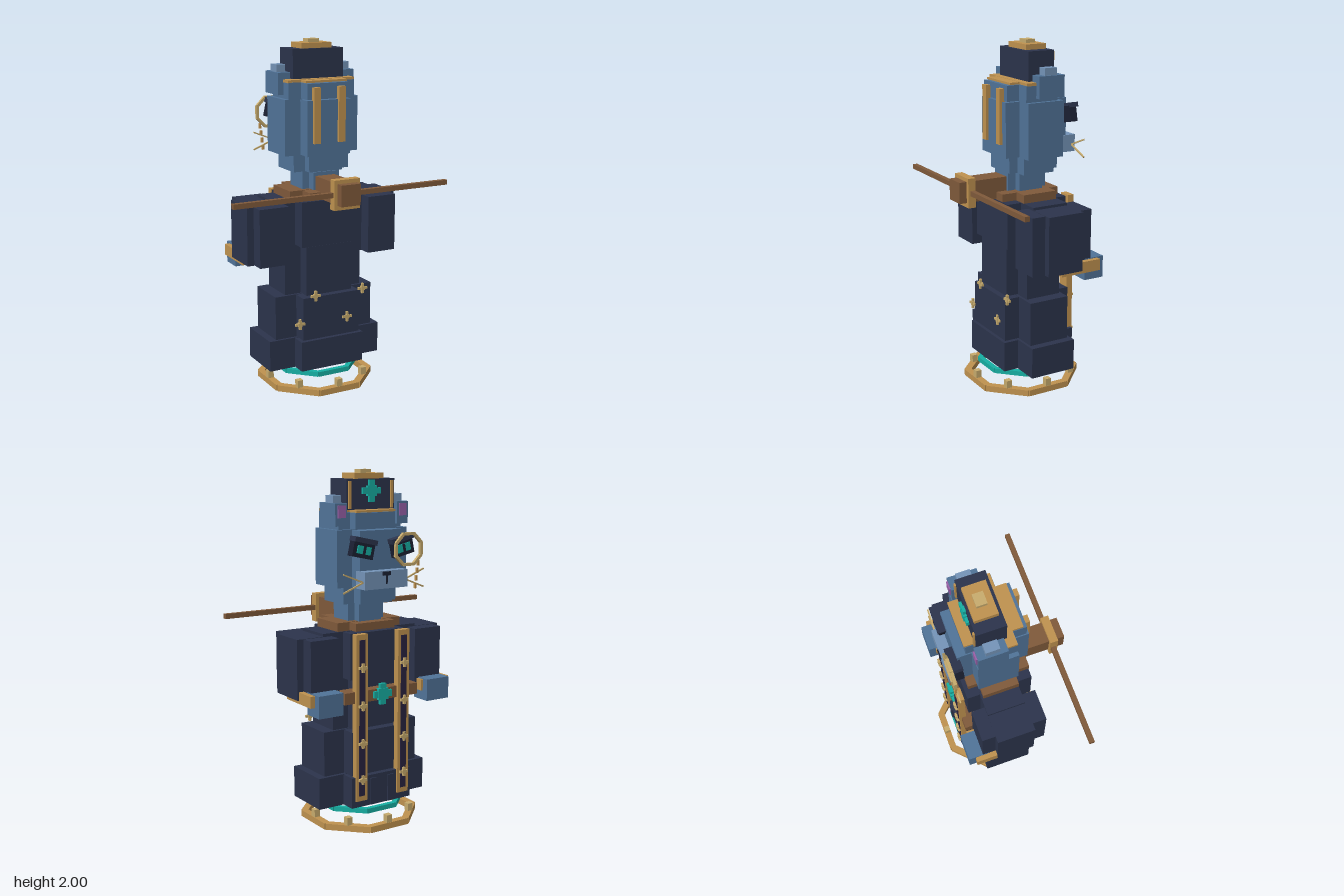
import * as THREE from 'three';

const mat = (name, color) => {
  const m = new THREE.MeshStandardMaterial({ color });
  m.name = name;
  return m;
};

export function createModel() {
  const navy = mat('navy cloth', 0x2c344c);
  const blue = mat('blue fur', 0x517499);
  const pale = mat('pale blue fur', 0x7595b9);
  const gold = mat('gold trim', 0xc09350);
  const tan = mat('pale gold', 0xc8ac6e);
  const brown = mat('brown leather', 0x805a3b);
  const teal = mat('teal glow', 0x17b0a4);
  const purple = mat('purple inner ear', 0x9a62aa);
  const plum = mat('dark plum', 0x2a2340);
  const black = mat('near black', 0x1b2032);

  const model = new THREE.Group();

  // Box from its limits on each axis
  function box(name, m, [x0, x1], [y0, y1], [z0, z1], parent = model) {
    const mesh = new THREE.Mesh(new THREE.BoxGeometry(x1 - x0, y1 - y0, z1 - z0), m);
    mesh.position.set((x0 + x1) / 2, (y0 + y1) / 2, (z0 + z1) / 2);
    mesh.name = name;
    parent.add(mesh);
    return mesh;
  }

  // The same box on both sides
  function pair(name, m, [x0, x1], y, z) {
    box(name + 'Left', m, [x0, x1], y, z);
    box(name + 'Right', m, [-x1, -x0], y, z);
  }

  // Stepped block: a wide shallow box crossed with a narrow deep one
  function stepped(name, m, y, wide, wideZ, narrow, deepZ, cx = 0) {
    const g = new THREE.Group();
    g.name = name;
    box(name + 'Wide', m, [cx - wide, cx + wide], y, wideZ, g);
    box(name + 'Deep', m, [cx - narrow, cx + narrow], [y[0] + 0.002, y[1] - 0.002], deepZ, g);
    model.add(g);
  }

  // Octagonal ring of eight bars, lying flat around the local y axis
  function ring(name, m, apothem, band, height) {
    const g = new THREE.Group();
    g.name = name;
    const mid = apothem - band / 2;
    for (let i = 0; i < 8; i++) {
      const a = i * Math.PI / 4;
      const bar = new THREE.Mesh(new THREE.BoxGeometry(2 * mid * Math.tan(Math.PI / 8) + band * 0.2, height, band), m);
      bar.position.set(Math.sin(a) * mid, 0, Math.cos(a) * mid);
      bar.rotation.y = a;
      bar.name = name + 'Bar';
      g.add(bar);
    }
    model.add(g);
    return g;
  }

  // Small plus-shaped ornament facing z
  function star(name, m, x, y, z, size, arm, depth) {
    const g = new THREE.Group();
    g.name = name;
    const s = size / 2, a = arm / 2, d = depth / 2, c = arm * 0.85;
    box('upright', m, [-a, a], [-s, s], [-d, d], g);
    box('crossbar', m, [-s, s], [-a, a], [-d * 0.9, d * 0.9], g);
    box('centre', m, [-c, c], [-c, c], [-d * 1.2, d * 1.2], g);
    g.position.set(x, y, z);
    model.add(g);
  }

  // Floating base rings
  const CZ = -0.057;
  ring('baseRing', gold, 0.317, 0.04, 0.036).position.set(0, 0.018, CZ);
  ring('glowRing', teal, 0.24, 0.028, 0.028).position.set(0, 0.099, CZ);
  for (let i = 0; i < 8; i++) {
    const a = i * Math.PI / 4, x = Math.sin(a) * 0.297, z = CZ + Math.cos(a) * 0.297;
    box('ringStud', tan, [x - 0.017, x + 0.017], [0.034, 0.08], [z - 0.017, z + 0.017]);
  }

  // Robe tiers
  stepped('hem', navy, [0.13, 0.31], 0.358, [-0.2, 0.08], 0.2, [-0.29, 0.17]);
  stepped('skirt', navy, [0.31, 0.565], 0.313, [-0.18, 0.065], 0.182, [-0.265, 0.155]);
  stepped('waist', navy, [0.565, 0.855], 0.245, [-0.165, 0.05], 0.145, [-0.225, 0.125]);
  stepped('chest', navy, [0.855, 1.12], 0.31, [-0.17, 0.05], 0.18, [-0.245, 0.137]);
  for (const x of [-0.06, 0.06]) box('hemFold', navy, [x - 0.02, x + 0.02], [0.135, 0.29], [-0.298, -0.28]);

  // Stars scattered on the robe
  for (const [x, y, z] of [[-0.105, 0.57, 0.158], [0.205, 0.57, 0.155], [-0.205, 0.415, 0.158], [0.1, 0.415, 0.158]])
    star('robeStar', tan, x, y, z, 0.06, 0.014, 0.014);

  // Sleeves, cuffs and hands
  for (const s of [1, -1]) {
    stepped(s > 0 ? 'sleeveLeft' : 'sleeveRight', navy, [0.768, 1.105], 0.13, [-0.17, 0.05], 0.09, [-0.248, 0.13], s * 0.345);
  }
  pair('cuff', gold, [0.27, 0.466], [0.75, 0.815], [-0.293, -0.165]);
  pair('cuffLining', gold, [0.27, 0.466], [0.75, 0.767], [-0.166, -0.04]);
  pair('hand', blue, [0.282, 0.437], [0.695, 0.82], [-0.332, -0.21]);

  // Belt with glowing clasp
  box('belt', brown, [-0.245, 0.245], [0.735, 0.8], [-0.288, -0.2]);
  star('beltClasp', teal, 0, 0.77, -0.293, 0.12, 0.038, 0.022);

  // Stole bands with gold edges and studs
  for (const s of [1, -1]) {
    const x = s * 0.14;
    box('stoleBand', gold, [x - 0.038, x + 0.038], [0.17, 1.12], [-0.3, -0.262]);
    box('stoleInlay', plum, [x - 0.019, x + 0.019], [0.2, 1.09], [-0.304, -0.299]);
    for (const y of [0.295, 0.505, 0.72, 0.935]) star('stoleStud', tan, x, y, -0.309, 0.052, 0.014, 0.016);
  }

  // Collar
  stepped('collar', brown, [1.12, 1.168], 0.21, [-0.16, 0.05], 0.13, [-0.222, 0.14]);

  // Staff carried across the back
  box('staffBlock', brown, [-0.06, 0.06], [1.127, 1.247], [0.06, 0.372]);
  box('staffClamp', gold, [-0.08, 0.08], [1.1, 1.268], [0.282, 0.328]);
  box('staff', brown, [-0.668, 0.668], [1.17, 1.198], [0.288, 0.316]);

  // Neck and head
  stepped('neck', blue, [1.165, 1.27], 0.118, [-0.125, 0.025], 0.075, [-0.17, 0.075]);
  stepped('jaw', blue, [1.27, 1.368], 0.175, [-0.165, 0.03], 0.105, [-0.23, 0.083]);
  stepped('head', blue, [1.366, 1.68], 0.23, [-0.19, 0.035], 0.135, [-0.268, 0.122]);
  stepped('crown', blue, [1.68, 1.772], 0.206, [-0.165, 0.035], 0.13, [-0.22, 0.11]);
  stepped('hatBrim', gold, [1.77, 1.786], 0.208, [-0.155, 0.032], 0.128, [-0.226, 0.092]);
  for (const x of [-0.08, 0.075]) box('headStrip', gold, [x - 0.021, x + 0.021], [1.44, 1.75], [0.105, 0.138]);

  // Ears
  pair('ear', blue, [0.165, 0.24], [1.7, 1.823], [-0.188, -0.028]);
  pair('earTip', pale, [0.175, 0.228], [1.823, 1.864], [-0.145, -0.068]);
  pair('innerEar', purple, [0.178, 0.226], [1.745, 1.812], [-0.196, -0.187]);

  // Hat
  box('hat', navy, [-0.158, 0.158], [1.785, 1.95], [-0.17, -0.008]);
  box('hatTop', gold, [-0.095, 0.095], [1.95, 1.98], [-0.156, -0.028]);
  box('hatButton', tan, [-0.035, 0.035], [1.98, 2.0], [-0.122, -0.064]);
  pair('hatTrim', gold, [0.13, 0.146], [1.79, 1.94], [-0.179, -0.17]);
  star('hatEmblem', teal, 0, 1.885, -0.177, 0.12, 0.034, 0.018);

  // Muzzle, nose and mouth
  box('muzzle', pale, [-0.14, 0.14], [1.365, 1.462], [-0.327, -0.24]);
  box('nose', black, [-0.026, 0.026], [1.437, 1.458], [-0.333, -0.326]);
  box('mouth', black, [-0.005, 0.005], [1.39, 1.437], [-0.331, -0.326]);

  // Slanted eyes
  for (const s of [1, -1]) {
    const eye = new THREE.Group();
    eye.name = s > 0 ? 'eyeLeft' : 'eyeRight';
    box('eyeSocket', black, [-0.068, 0.068], [-0.045, 0.045], [0, 0.045], eye);
    box('brow', navy, [-0.073, 0.073], [0.035, 0.062], [-0.012, 0.045], eye);
    box('iris', teal, [-0.044, 0.044], [-0.024, 0.02], [-0.007, 0.002], eye);
    box('pupil', black, [-0.008, 0.008], [-0.024, 0.02], [-0.01, -0.006], eye);
    eye.position.set(s * 0.13, 1.58, -0.3);
    eye.rotation.z = s * 0.22;
    model.add(eye);
  }

  // Monocle and its chain
  const monocle = ring('monocle', tan, 0.092, 0.016, 0.018);
  monocle.position.set(-0.152, 1.57, -0.317);
  monocle.rotation.x = Math.PI / 2;
  for (let i = 0; i < 4; i++) {
    const x = -0.222 + i * 0.006, y = 1.49 - i * 0.042;
    box('chainLink', gold, [x - 0.006, x + 0.006], [y - 0.015, y + 0.015], [-0.318, -0.306]);
  }

  // Whiskers
  for (const s of [1, -1]) {
    for (const slope of [0.38, -0.38]) {
      const w = box('whisker', tan, [-0.07, 0.07], [-0.004, 0.004], [-0.004, 0.004]);
      w.position.set(s * 0.2, 1.405 + slope * 0.065, -0.306);
      w.rotation.z = s * slope;
    }
  }

  return model;
}
